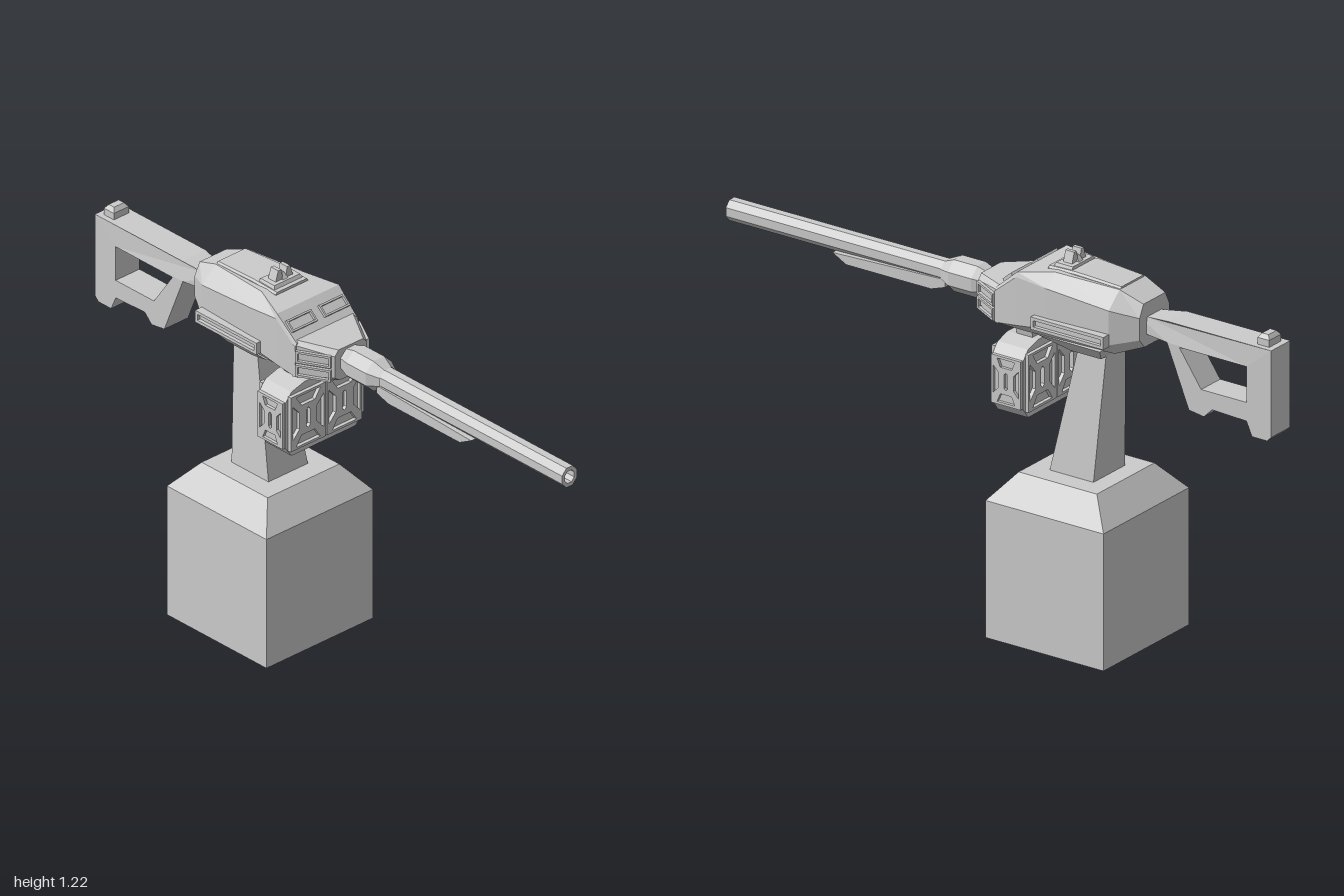
import * as THREE from 'three';

const mat = new THREE.MeshStandardMaterial({ color: 0xcccccc, flatShading: true });

export function createModel() {
  const root = new THREE.Group();

  const add = (name, geo, x = 0, y = 0, z = 0, ry = 0, rx = 0) => {
    const m = new THREE.Mesh(geo, mat);
    m.name = name;
    m.position.set(x, y, z);
    m.rotation.set(rx, ry, 0, 'YXZ');
    root.add(m);
    return m;
  };

  // Box whose lower and upper faces are [halfWidth, zFront, zBack] at y0 and y1
  const taper = (y0, y1, lo, hi) => {
    const g = new THREE.BoxGeometry(2, 2, 2), p = g.attributes.position;
    for (let i = 0; i < p.count; i++) {
      const f = p.getY(i) > 0 ? hi : lo;
      p.setXYZ(i, p.getX(i) * f[0], p.getY(i) > 0 ? y1 : y0, p.getZ(i) > 0 ? f[1] : f[2]);
    }
    g.computeVertexNormals();
    return g;
  };

  // Eight-sided loft; each section is [z, wBottom, yBottom, w, yLow, yHigh, wTop, yTop], front to back
  const loft = (sections) => {
    const rings = sections.map(([z, wb, yb, w, yl, yu, wt, yt]) =>
      [[wb, yb], [w, yl], [w, yu], [wt, yt], [-wt, yt], [-w, yu], [-w, yl], [-wb, yb]].map(([x, y]) => [x, y, z]));
    const v = [], n = 8, last = rings[rings.length - 1];
    for (let i = 0; i < rings.length - 1; i++)
      for (let j = 0; j < n; j++) {
        const k = (j + 1) % n, a = rings[i], b = rings[i + 1];
        v.push(...a[j], ...b[j], ...a[k], ...a[k], ...b[j], ...b[k]);
      }
    for (let j = 1; j < n - 1; j++) {
      v.push(...rings[0][0], ...rings[0][j], ...rings[0][j + 1]);
      v.push(...last[0], ...last[j + 1], ...last[j]);
    }
    const g = new THREE.BufferGeometry();
    g.setAttribute('position', new THREE.Float32BufferAttribute(v, 3));
    g.computeVertexNormals();
    return g;
  };

  const poly = (pts, Type = THREE.Shape) => new Type(pts.map(([x, y]) => new THREE.Vector2(x, y)));
  const rect = (w, h) => [[-w / 2, -h / 2], [w / 2, -h / 2], [w / 2, h / 2], [-w / 2, h / 2]];
  const extrude = (shape, depth) => new THREE.ExtrudeGeometry(shape, { depth, bevelEnabled: false });

  // Raised rectangular rim
  const rim = (w, h, t, depth) => {
    const s = poly(rect(w, h));
    s.holes.push(poly(rect(w - 2 * t, h - 2 * t), THREE.Path));
    return extrude(s, depth);
  };

  // Plate with four trapezoid recesses around a pill-shaped slot
  const crossPlate = (w, h, depth) => {
    const s = poly(rect(w, h)), a = w / 2, b = h / 2, e = 0.008;
    for (const k of [1, -1]) {
      s.holes.push(poly([[k * (a - e), -b + 0.034], [k * (a - e), b - 0.034],
        [k * a * 0.5, b * 0.3], [k * a * 0.5, -b * 0.3]], THREE.Path));
      s.holes.push(poly([[-a + 0.022, k * (b - e)], [a - 0.022, k * (b - e)],
        [a * 0.38, k * b * 0.55], [-a * 0.38, k * b * 0.55]], THREE.Path));
    }
    const q = w * 0.06, r = b * 0.28;
    s.holes.push(poly([[-q, -r], [0, -r - q], [q, -r], [q, r], [0, r + q], [-q, r]], THREE.Path));
    return extrude(s, depth);
  };

  // Pedestal
  add('base', taper(0, 0.44, [0.215, -0.08, -0.51], [0.215, -0.08, -0.51]));
  add('baseBevel', taper(0.44, 0.525, [0.215, -0.08, -0.51], [0.145, -0.15, -0.435]));
  add('column', taper(0.52, 0.94, [0.08, -0.215, -0.375], [0.048, -0.3, -0.4]));
  add('columnCap', taper(0.925, 0.965, [0.075, -0.29, -0.4], [0.11, -0.19, -0.42]));

  // Receiver
  add('receiver', loft([
    [-0.05, 0.1, 0.965, 0.128, 0.975, 1.075, 0.12, 1.085],
    [-0.13, 0.1, 0.96, 0.13, 0.985, 1.14, 0.125, 1.155],
    [-0.24, 0.1, 0.96, 0.13, 1.0, 1.13, 0.085, 1.168],
    [-0.46, 0.09, 0.963, 0.12, 1.0, 1.11, 0.065, 1.16],
    [-0.54, 0.05, 0.99, 0.075, 1.02, 1.09, 0.055, 1.13],
  ]));
  add('receiverNose', loft([
    [0.055, 0.045, 0.975, 0.065, 0.99, 1.062, 0.05, 1.08],
    [-0.06, 0.1, 0.962, 0.128, 0.972, 1.08, 0.115, 1.092],
  ]));
  add('topPlate', loft([
    [-0.2, 0.065, 1.15, 0.065, 1.155, 1.165, 0.06, 1.172],
    [-0.3, 0.065, 1.15, 0.065, 1.155, 1.168, 0.06, 1.175],
    [-0.46, 0.06, 1.14, 0.06, 1.145, 1.16, 0.055, 1.166],
  ]));

  // Mirrored receiver details
  for (const s of [1, -1]) {
    add('sideRail', rim(0.265, 0.04, 0.01, 0.03), s * 0.118, 1.015, -0.328, s * Math.PI / 2);
    add('sideRailFloor', new THREE.BoxGeometry(0.02, 0.03, 0.255), s * 0.126, 1.015, -0.328);
    add('slopePanelRim', rim(0.1, 0.04, 0.006, 0.012), s * 0.066, 1.119, -0.093, 0, -0.85);
    for (const y of [1.045, 0.998])
      add('noseSidePanelRim', rim(0.11, 0.04, 0.007, 0.012), s * 0.094, y, -0.003, s * 1.07);
  }

  // Top sight with two angled prongs
  add('sightBase', taper(1.165, 1.183, [0.06, -0.21, -0.285], [0.052, -0.22, -0.28]));
  for (const s of [1, -1])
    add('sightProng', extrude(poly(s > 0
      ? [[0.004, 0], [0.036, 0], [0.024, 0.037], [0.012, 0.037]]
      : [[-0.036, 0], [-0.004, 0], [-0.012, 0.037], [-0.024, 0.037]]), 0.032), 0, 1.18, -0.265);
  add('sightWedge', taper(1.18, 1.2, [0.012, -0.225, -0.275], [0.005, -0.24, -0.26]));

  // Barrel with hollow muzzle, and its collar
  const lathe = (pts) => new THREE.LatheGeometry(
    pts.map(([r, z]) => new THREE.Vector2(r, z)), 8, Math.PI / 8).rotateX(Math.PI / 2).scale(0.92, 1, 1);
  add('barrel', lathe([[0.036, 0.15], [0.036, 1], [0.022, 1], [0.022, 0.93], [0, 0.93]]), 0, 1.031, 0);
  add('barrelCollar', lathe([[0.043, 0.045], [0.046, 0.065], [0.055, 0.09], [0.055, 0.175], [0.036, 0.215]]), 0, 1.031, 0)
    .scale.x = 1.12;

  // Rail beneath the barrel
  add('underBarrelRail', extrude(poly([[0.61, 1.0], [0.2, 1.015], [0.2, 0.99], [0.25, 0.973], [0.56, 0.973]]), 0.066)
    .rotateY(-Math.PI / 2).translate(0.033, 0, 0));

  // Ammunition box with recessed panels on four sides
  const outline = [[-0.13, 0.7], [0.13, 0.7], [0.155, 0.735], [0.155, 0.888], [0.13, 0.918], [0.08, 0.933],
    [-0.08, 0.933], [-0.13, 0.918], [-0.155, 0.888], [-0.155, 0.735]];
  add('ammoBox', extrude(poly(outline), 0.111), 0, 0, -0.1735);
  for (const s of [1, -1]) {
    for (const x of [0.073, -0.073])
      add('ammoBoxFacePanel', crossPlate(0.142, 0.185, 0.012), x, 0.815, -0.118 + s * 0.0555, s > 0 ? 0 : Math.PI);
    add('ammoBoxSidePanel', crossPlate(0.108, 0.155, 0.012), s * 0.153, 0.812, -0.118, s * Math.PI / 2);
  }
  add('ammoBoxNeck', taper(0.925, 0.97, [0.075, -0.095, -0.15], [0.085, -0.09, -0.155]));

  // Shoulder stock: open frame that narrows where it meets the receiver
  const stock = poly([[-0.5, 1.083], [-0.545, 1.083], [-0.625, 1.093], [-1, 1.093], [-1, 0.815], [-0.985, 0.8],
    [-0.93, 0.8], [-0.91, 0.845], [-0.785, 0.85], [-0.755, 0.82], [-0.7, 0.828], [-0.62, 1.025], [-0.5, 1.03]]);
  stock.holes.push(poly([[-0.665, 1.02], [-0.91, 1.02], [-0.91, 0.905], [-0.745, 0.905]], THREE.Path));
  const stockGeo = extrude(stock, 0.096).rotateY(-Math.PI / 2).translate(0.048, 0, 0);
  const sp = stockGeo.attributes.position;
  for (let i = 0; i < sp.count; i++) if (sp.getZ(i) > -0.6) sp.setX(i, sp.getX(i) * 0.75);
  stockGeo.computeVertexNormals();
  add('stock', stockGeo);
  add('rearSight', taper(1.09, 1.115, [0.03, -0.937, -0.98], [0.03, -0.937, -0.98]));
  add('rearSightTop', taper(1.115, 1.128, [0.03, -0.937, -0.98], [0.02, -0.947, -0.97]));

  return root;
}
